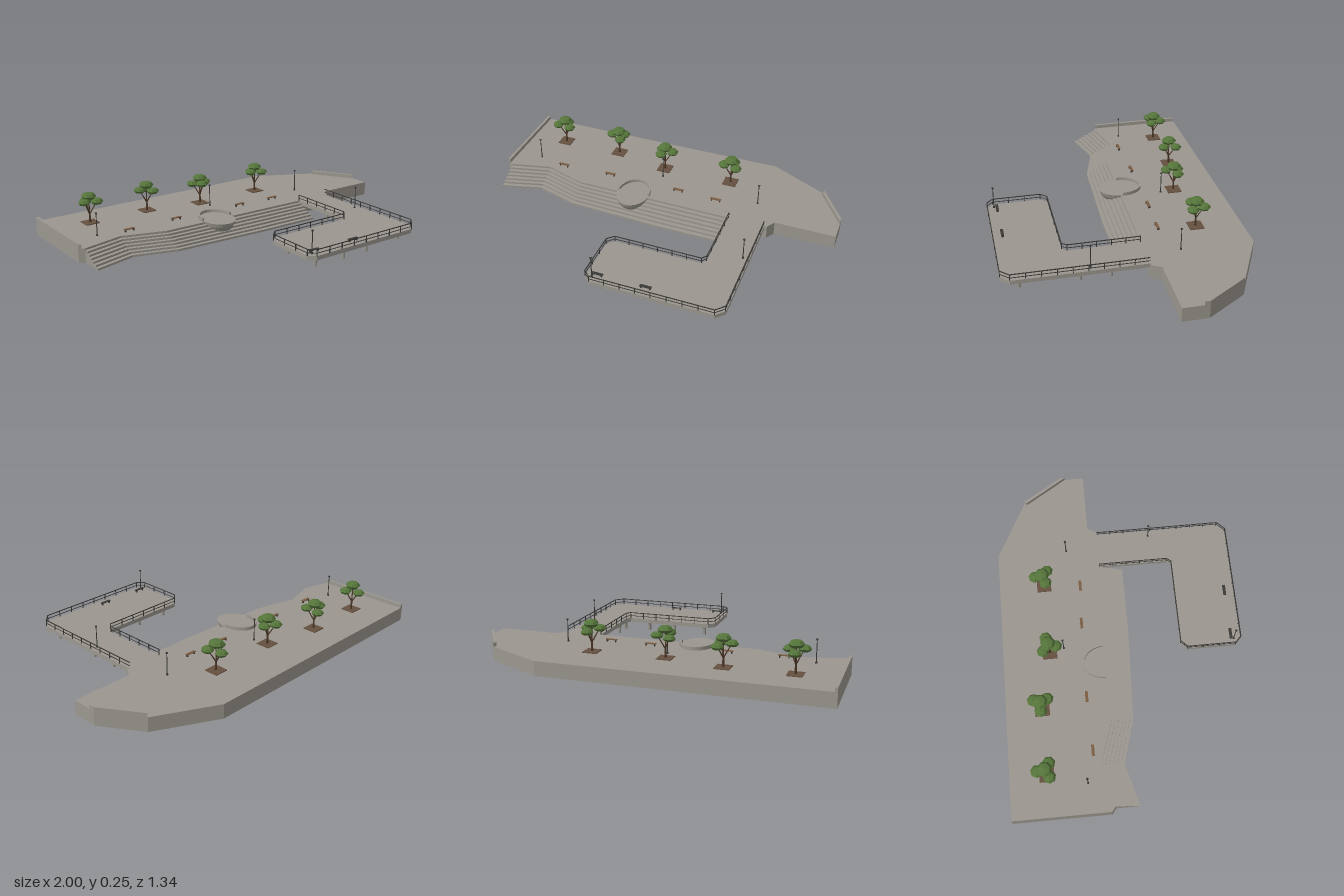
import * as THREE from 'three';

const mat = (name, color) => new THREE.MeshStandardMaterial({ name, color, flatShading: true });
const V = (x, y, z) => new THREE.Vector3(x, y, z);

export function createModel() {
  const concrete = mat('concrete', 0x9b978f);
  const leaf = mat('leafGreen', 0x55753a);
  const bark = mat('bark', 0x4d3829);
  const soil = mat('treePit', 0x65503f);
  const wood = mat('benchWood', 0x7b5c42);
  const metal = mat('darkMetal', 0x3a3937);
  concrete.side = THREE.DoubleSide;

  const model = new THREE.Group();
  model.name = 'waterfrontPlaza';
  const group = (name) => {
    const g = new THREE.Group();
    g.name = name;
    model.add(g);
    return g;
  };
  const add = (parent, name, geo, m, x = 0, y = 0, z = 0) => {
    const mesh = new THREE.Mesh(geo, m);
    mesh.name = name;
    mesh.position.set(x, y, z);
    parent.add(mesh);
    return mesh;
  };
  // Flat slab from an [x, z] outline between two heights
  const slab = (parent, name, pts, y0, y1, m = concrete) => {
    const shape = new THREE.Shape(pts.map(([x, z]) => new THREE.Vector2(x, -z)));
    const geo = new THREE.ExtrudeGeometry(shape, { depth: y1 - y0, bevelEnabled: false, curveSegments: 24 });
    geo.rotateX(-Math.PI / 2);
    return add(parent, name, geo, m, 0, y0, 0);
  };
  // Square bar between two points
  const bar = (parent, name, a, b, w, m) => {
    const mesh = add(parent, name, new THREE.BoxGeometry(w, w, a.distanceTo(b)), m);
    mesh.position.copy(a).lerp(b, 0.5);
    mesh.lookAt(b);
    return mesh;
  };
  // Tapered round limb between two points
  const limb = (parent, name, a, b, r0, r1, m) => {
    const mesh = add(parent, name, new THREE.CylinderGeometry(r1, r0, a.distanceTo(b), 6), m);
    mesh.position.copy(a).lerp(b, 0.5);
    mesh.quaternion.setFromUnitVectors(V(0, 1, 0), b.clone().sub(a).normalize());
  };

  // Plaza body
  const top = 0.08;
  const stairTop = [[-0.97, -0.12], [-0.74, -0.175], [-0.5, -0.1], [0.04, -0.095], [0.41, -0.09]];
  const stairFoot = [[-0.97, 0.012], [-0.74, -0.05], [-0.5, 0.02], [0.04, 0.042], [0.41, 0.043]];
  slab(model, 'plaza', [[-1, -0.67], [0.53, -0.67], [0.86, -0.5], [1, -0.28], [1, -0.14], [0.66, -0.14],
    [0.63, -0.09], ...[...stairTop].reverse(), [-1, -0.14]], 0, top);

  // Stairs: strips receding toward the plaza edge
  const stairs = group('stairs');
  const steps = 6;
  const rise = top / (steps + 1);
  for (let k = 0; k < steps; k++) {
    const front = stairFoot.map(([x, z], i) => [x, z + (stairTop[i][1] - z) * k / steps]);
    slab(stairs, 'step', [...front, ...[...stairTop].reverse()], k * rise, (k + 1) * rise);
  }

  // End parapets
  slab(model, 'leftParapet', [[-1, -0.67], [-0.985, -0.67], [-0.985, -0.13], [-1, -0.14]], top, 0.102);
  slab(model, 'rightParapet', [[0.86, -0.5], [1, -0.28], [1, -0.25], [0.987, -0.27], [0.85, -0.486]], top, 0.102);

  // Oval lookout: bowl, floor and half-ring wall
  const lookout = group('lookout');
  lookout.position.set(-0.17, 0, -0.11);
  const profile = [[0, 0.015], [0.055, 0.018], [0.075, 0.035], [0.088, 0.06], [0.094, 0.083], [0, 0.083]];
  const bowl = add(lookout, 'lookoutBowl',
    new THREE.LatheGeometry(profile.map(([r, y]) => new THREE.Vector2(r, y)), 32), concrete);
  bowl.scale.z = 1.3;
  const arc = (r, flip) => Array.from({ length: 25 }, (_, i) => {
    const a = Math.PI * (flip ? 24 - i : i) / 24;
    return [Math.cos(a) * r, -Math.sin(a) * r * 1.3];
  });
  slab(lookout, 'lookoutWall', [...arc(0.096, false), ...arc(0.086, true)], top, 0.1);

  // Pier deck
  const pier = [[0.41, -0.09], [0.41, 0.3], [0.39, 0.325], [-0.1, 0.325], [-0.135, 0.36], [-0.135, 0.63],
    [-0.1, 0.663], [0.57, 0.663], [0.615, 0.618], [0.615, -0.09]];
  slab(model, 'pierDeck', pier, 0.057, top);

  // Flared pier columns
  const columns = group('pierColumns');
  const columnGeo = new THREE.LatheGeometry(
    [[0, 0], [0.01, 0], [0.011, 0.035], [0.014, 0.048], [0.02, 0.057]].map(([r, y]) => new THREE.Vector2(r, y)), 10);
  for (const [x, z] of [[0.56, 0.1], [0.465, 0.1], [0.56, 0.26], [0.44, 0.26], [0.44, 0.365], [0.29, 0.385],
    [0.13, 0.385], [-0.06, 0.385], [0.56, 0.57], [0.29, 0.605], [0.13, 0.605], [-0.06, 0.605]]) {
    add(columns, 'pierColumn', columnGeo, concrete, x, 0, z);
  }

  // Railing along the pier edge
  const railing = group('railing');
  for (let i = 0; i < pier.length - 1; i++) {
    const [a, b] = [pier[i], pier[i + 1]].map(([x, z]) => V(x + (x > 0.6 ? -0.003 : 0), 0, z));
    for (const y of [0.095, 0.114]) {
      bar(railing, 'rail', a.clone().setY(y), b.clone().setY(y), y > 0.1 ? 0.004 : 0.003, metal);
    }
    const n = Math.max(1, Math.round(a.distanceTo(b) / 0.08));
    for (let k = 0; k < n; k++) {
      const p = a.clone().lerp(b, k / n);
      add(railing, 'railPost', new THREE.BoxGeometry(0.004, 0.036, 0.004), metal, p.x, 0.097, p.z);
    }
  }

  // Trees: forked trunk with four flattened crowns
  const crownGeo = new THREE.SphereGeometry(1, 7, 4);
  for (const [x, z, turn] of [[-0.77, -0.47, -90], [-0.41, -0.472, -60], [-0.087, -0.41, -135], [0.32, -0.417, -82]]) {
    const tree = group('tree');
    tree.position.set(x, top, z);
    add(tree, 'treePit', new THREE.BoxGeometry(0.08, 0.004, 0.08), soil, 0, 0.002, 0);
    const fork = V(0, 0.05, 0);
    limb(tree, 'trunk', V(0, 0, 0), fork, 0.007, 0.005, bark);
    const crown = (px, py, pz, r, h) => {
      limb(tree, 'branch', fork, V(px, py, pz), 0.004, 0.002, bark);
      add(tree, 'crown', crownGeo, leaf, px, py, pz).scale.set(r, h, r);
    };
    crown(0, 0.153, 0, 0.042, 0.022);
    for (let k = 0; k < 3; k++) {
      const a = THREE.MathUtils.degToRad(turn + 120 * k);
      crown(Math.cos(a) * 0.043, 0.116 + k * 0.006, Math.sin(a) * 0.043, 0.035, 0.019);
    }
  }

  // Lamp posts
  for (const [x, z] of [[-0.835, -0.255], [-0.07, -0.33], [0.525, -0.275], [0.58, 0.21], [-0.1, 0.625]]) {
    const lamp = group('lampPost');
    lamp.position.set(x, top, z);
    add(lamp, 'lampBase', new THREE.CylinderGeometry(0.005, 0.006, 0.008, 8), metal, 0, 0.004, 0);
    add(lamp, 'lampPole', new THREE.CylinderGeometry(0.002, 0.003, 0.12, 6), metal, 0, 0.06, 0);
    add(lamp, 'lampHead', new THREE.CylinderGeometry(0.007, 0.004, 0.007, 8), metal, 0, 0.123, 0);
  }

  // Benches: wood on the plaza, metal on the pier
  for (const [x, z, m] of [[-0.665, -0.215, wood], [-0.365, -0.225, wood], [0.065, -0.22, wood],
    [0.295, -0.21, wood], [-0.075, 0.61, metal], [0.19, 0.61, metal]]) {
    const bench = group('bench');
    bench.position.set(x, top, z);
    add(bench, 'benchSeat', new THREE.BoxGeometry(0.062, 0.004, 0.016), m, 0, 0.014, 0);
    for (const s of [-1, 1]) {
      add(bench, 'benchLeg', new THREE.BoxGeometry(0.004, 0.012, 0.013), metal, s * 0.024, 0.006, 0);
    }
  }
  return model;
}
